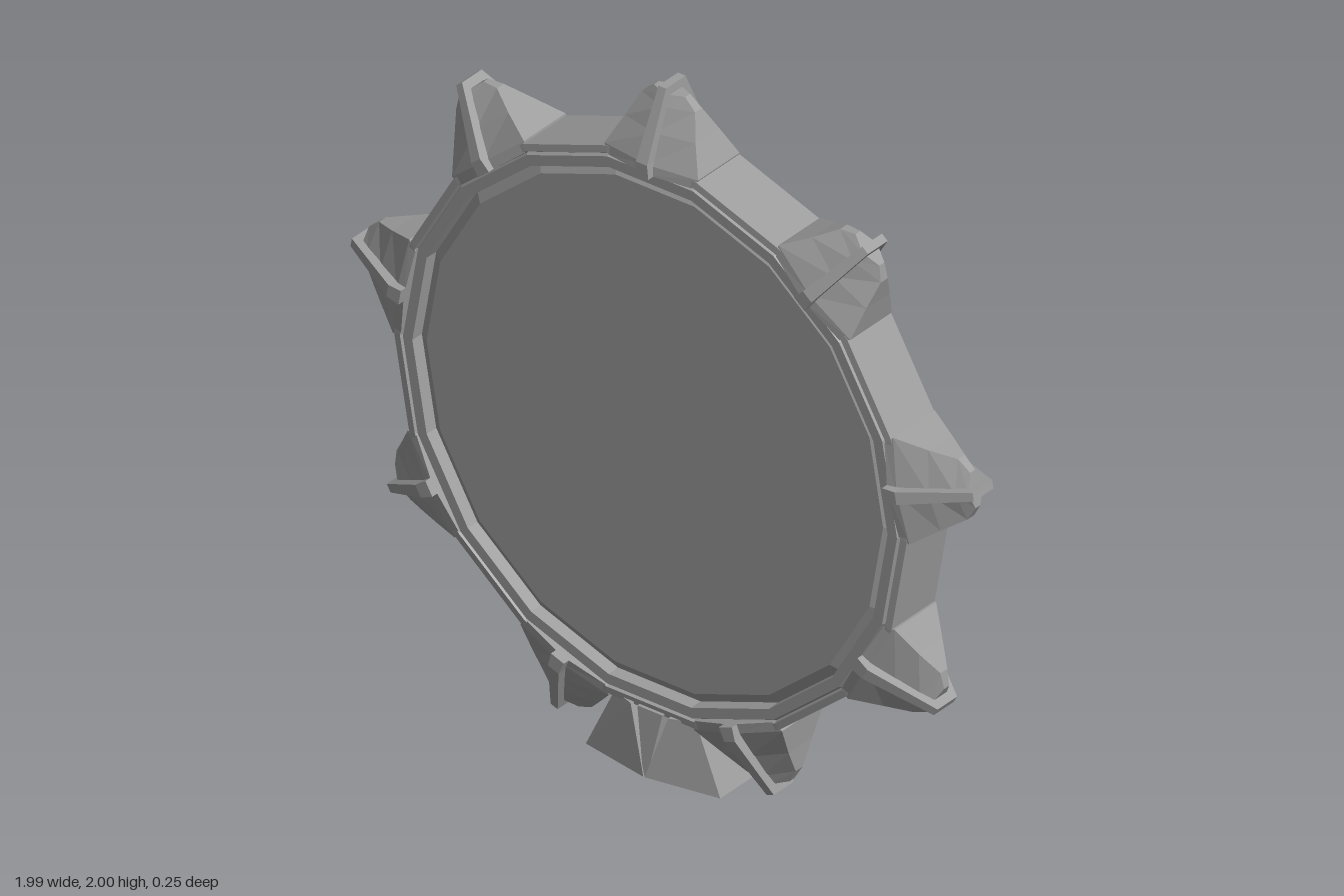
import * as THREE from 'three';

const CENTER_Y = 0.985;
const SPIKES = 9;

const material = new THREE.MeshStandardMaterial({ color: 0x9d9d9d, flatShading: true });

function part(name, geometry) {
  const mesh = new THREE.Mesh(geometry, material);
  mesh.name = name;
  return mesh;
}

// Skin a stack of equal-length rings (counter-clockwise seen from the last ring), with both ends capped.
function loft(rings) {
  const n = rings[0].length;
  const position = rings.flat(2);
  const index = [];
  for (let r = 0; r < rings.length - 1; r++) {
    for (let i = 0; i < n; i++) {
      const a = r * n + i, b = r * n + (i + 1) % n;
      index.push(a, b, b + n, a, b + n, a + n);
    }
  }
  const top = (rings.length - 1) * n;
  for (let i = 1; i < n - 1; i++) {
    index.push(0, i + 1, i);
    index.push(top, top + i, top + i + 1);
  }
  const geometry = new THREE.BufferGeometry();
  geometry.setAttribute('position', new THREE.Float32BufferAttribute(position, 3));
  geometry.setIndex(index);
  const flat = geometry.toNonIndexed();
  flat.computeVertexNormals();
  return flat;
}

// Rectangular ring at height y
const rect = (y, x, front, back = front) => [[-x, y, front], [x, y, front], [x, y, -back], [-x, y, -back]];

// Six-cornered ring with a central ridge on the front and the back
const ridged = (y, x, z, mid) => [
  [-x, y, z], [0, y, mid], [x, y, z], [x, y, -z], [0, y, -mid], [-x, y, -z],
];

// Eighteen-sided disc: grooved rim, and a sunken bevelled panel on each face
function makeDisc() {
  const half = [
    [0.82, 0.088], [0.8, 0.09], [0.795, 0.08], [0.79, 0.09],
    [0.76, 0.09], [0.759, 0.052], [0.73, 0.07], [0, 0.07],
  ];
  const profile = [
    ...half.map(([r, z]) => new THREE.Vector2(r, -z)).reverse(),
    ...half.map(([r, z]) => new THREE.Vector2(r, z)),
  ];
  const geometry = new THREE.LatheGeometry(profile, SPIKES * 2, Math.PI / (SPIKES * 2));
  geometry.rotateX(Math.PI / 2);
  return part('disc', geometry);
}

// Ridged spike with triangular ends and a thin fin along its middle, pointing up +y
function makeSpike() {
  const spike = new THREE.Group();
  spike.add(part('spikeBody', loft([
    ridged(0.785, 0.132, 0.09, 0.108),
    ridged(0.812, 0.15, 0.085, 0.104),
    ridged(0.89, 0.113, 0.048, 0.072),
    ridged(0.955, 0.085, 0.014, 0.045),
    ridged(0.985, 0.05, 0.01, 0.03),
  ])));
  spike.add(part('spikeFin', loft([
    rect(0.785, 0.022, 0.125),
    rect(0.825, 0.018, 0.125),
    rect(1.01, 0.012, 0.04),
  ])));
  return spike;
}

// Flared foot: two mirrored blocks parted by a V-shaped gap that holds a wedge
function makeFoot() {
  const foot = new THREE.Group();
  foot.name = 'foot';
  foot.position.x = 0.006;
  const blockRing = (side, y, inner, outer, front, back, z) => {
    const ring = [[inner, front], [outer, z], [outer, -z], [inner, -back]]
      .map(([x, depth]) => [side * x, y, depth]);
    return side > 0 ? ring : ring.reverse();
  };
  for (const [name, side] of [['footBlockLeft', 1], ['footBlockRight', -1]]) {
    foot.add(part(name, loft([
      blockRing(side, 0, 0.002, 0.215, 0.122, 0.1, 0.085),
      blockRing(side, 0.185, 0.06, 0.13, 0.1, 0.088, 0.075),
    ])));
  }
  foot.add(part('footWedge', loft([
    rect(0, 0.006, 0.118, 0.096),
    rect(0.185, 0.04, 0.098, 0.086),
  ])));
  return foot;
}

export function createModel() {
  const model = new THREE.Group();
  model.name = 'spikedDisc';

  const wheel = new THREE.Group();
  wheel.name = 'wheel';
  wheel.position.y = CENTER_Y;
  wheel.add(makeDisc());

  // Spikes evenly around the rim, starting at the top
  for (let i = 0; i < SPIKES; i++) {
    const spike = makeSpike();
    spike.name = `spike${i + 1}`;
    spike.rotation.z = (i / SPIKES) * Math.PI * 2;
    wheel.add(spike);
  }

  model.add(wheel, makeFoot());
  return model;
}
